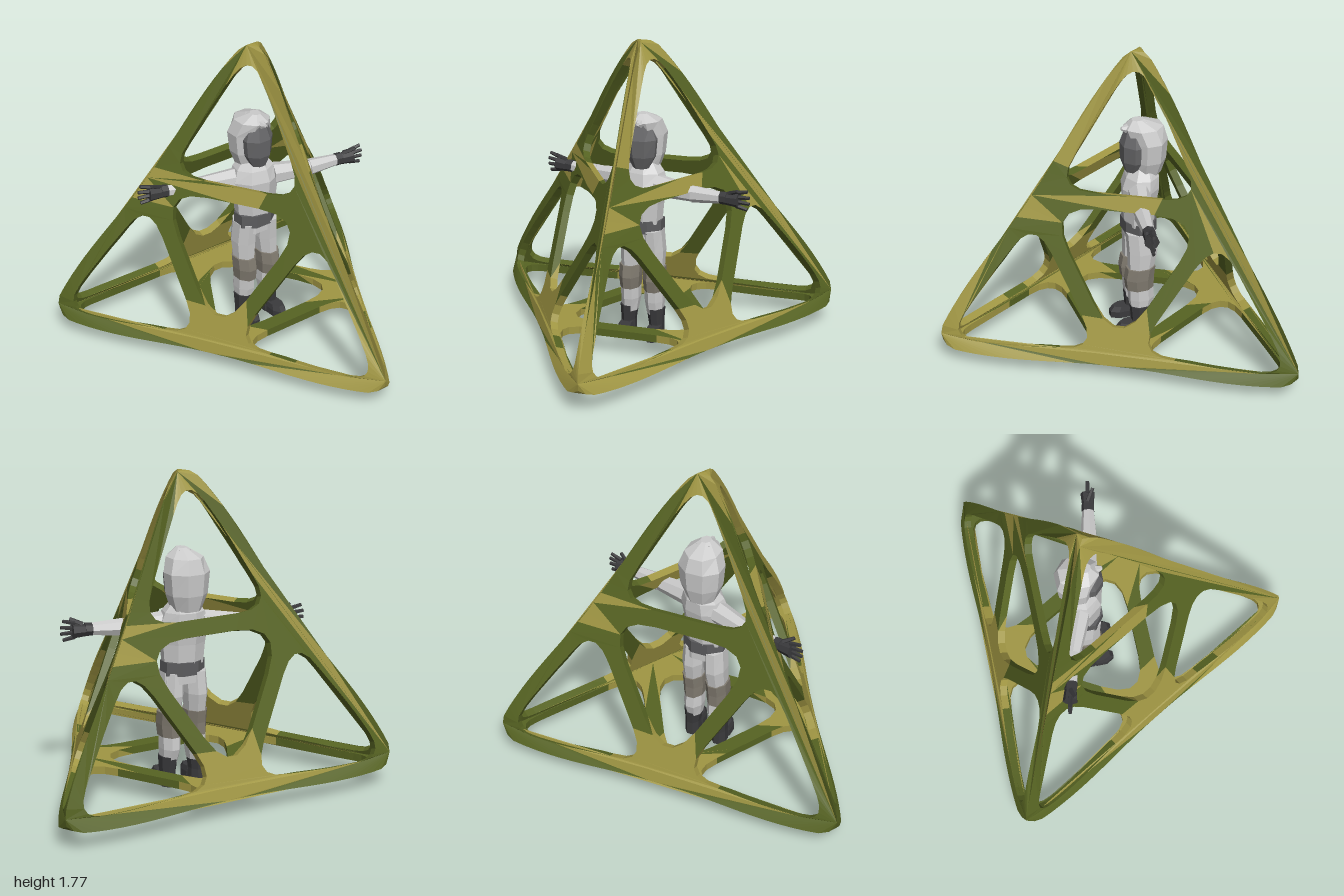
import * as THREE from 'three';

const V = (x, y, z) => new THREE.Vector3(x, y, z);
const material = (color) => new THREE.MeshStandardMaterial({ color, flatShading: true });
const olive = material(0xa09643), green = material(0x566322);
const cloth = material(0xcccccc), dark = material(0x3a3a3c), strap = material(0x5c5c5e);
const kneeCloth = material(0x817b70), shade = material(0x666668);

function addMesh(parent, name, geometry, mat) {
  const mesh = new THREE.Mesh(geometry, mat);
  mesh.name = name;
  parent.add(mesh);
}

// Closed skin over horizontal elliptical rings [y, x, z, rx, rz]
function loft(rings, sides = 8) {
  const pos = [], idx = [];
  for (const [y, x, z, rx, rz] of rings) {
    for (let j = 0; j < sides; j++) {
      const a = ((j + 0.5) / sides) * Math.PI * 2;
      pos.push(x + rx * Math.cos(a), y, z + rz * Math.sin(a));
    }
  }
  const last = rings.length - 1, base = rings.length * sides;
  for (const r of [rings[0], rings[last]]) pos.push(r[1], r[0], r[2]);
  for (let j = 0; j < sides; j++) {
    const k = (j + 1) % sides;
    for (let i = 0; i < last; i++) {
      const p = i * sides + j, q = i * sides + k;
      idx.push(p, p + sides, q, q, p + sides, q + sides);
    }
    idx.push(base, j, k, base + 1, last * sides + k, last * sides + j);
  }
  const g = new THREE.BufferGeometry();
  g.setAttribute('position', new THREE.Float32BufferAttribute(pos, 3));
  g.setIndex(idx);
  g.computeVertexNormals();
  return g;
}

// Tapered rod between two points
function rod(a, b, ra, rb, sides = 7) {
  const dir = b.clone().sub(a);
  const g = new THREE.CylinderGeometry(rb, ra, dir.length(), sides);
  g.applyQuaternion(new THREE.Quaternion().setFromUnitVectors(V(0, 1, 0), dir.normalize()));
  return g.translate((a.x + b.x) / 2, (a.y + b.y) / 2, (a.z + b.z) / 2);
}

// Regular tetrahedron measures: circumradius of a face, inradius, panel depth, rim width
const R = 1.23, IN = R * Math.SQRT2 / 4, DEPTH = 0.043, RIM = 0.074, BAR = 0.045, SUB = R * 0.75;
const CENTER = V(-0.26, 0.107 + IN, 0);

// Points of a triangle with rounded corners, inset from each side
function roundedHole(corners, insets, cuts) {
  const tip = corners.map((_, i) => {
    const j = (i + 1) % 3, k = (i + 2) % 3, wj = insets[j] / SUB, wk = insets[k] / SUB;
    return new THREE.Vector2().addScaledVector(corners[i], 1 - wj - wk)
      .addScaledVector(corners[j], wj).addScaledVector(corners[k], wk);
  });
  const toward = (p, q, d) => p.clone().add(q.clone().sub(p).setLength(d));
  const pts = [];
  for (let i = 0; i < 3; i++) {
    const next = tip[(i + 1) % 3], prev = tip[(i + 2) % 3];
    const start = toward(tip[i], prev, cuts[i]), end = toward(tip[i], next, cuts[i]);
    pts.push(...new THREE.QuadraticBezierCurve(start, tip[i], end).getPoints(5));
    const far = toward(next, tip[i], cuts[(i + 1) % 3]);
    for (let s = 1; s < 6; s++) pts.push(end.clone().lerp(far, s / 6));
  }
  return pts;
}

// Triangles of one face: outer skin, mitred inner skin and the walls of its four openings
function facePanel() {
  const c = [-150, -30, 90].map((d) => {
    const a = THREE.MathUtils.degToRad(d);
    return new THREE.Vector2(R * Math.cos(a), R * Math.sin(a));
  });
  const mid = c.map((p, i) => p.clone().lerp(c[(i + 1) % 3], 0.5));
  const holes = c.map((p, i) =>
    roundedHole([p, mid[i], mid[(i + 2) % 3]], [BAR, RIM, RIM], [0.16, 0.23, 0.23]));
  holes.push(roundedHole(mid, [BAR, BAR, BAR], [0.3, 0.3, 0.3]));
  const outline = c.flatMap((p, i) =>
    Array.from({ length: 28 }, (_, s) => p.clone().lerp(c[(i + 1) % 3], s / 28)));

  const out = [];
  const skin = (scale, z, flip) => {
    const shape = new THREE.Shape(outline.map((p) => p.clone().multiplyScalar(scale)));
    shape.holes = holes.map((h) => new THREE.Path(h));
    const p = new THREE.ShapeGeometry(shape).toNonIndexed().attributes.position;
    for (let i = 0; i < p.count; i += 3)
      for (const k of flip ? [0, 2, 1] : [0, 1, 2]) out.push(V(p.getX(i + k), p.getY(i + k), z));
  };
  skin(1, 0, false);
  skin(1 - DEPTH / IN, -DEPTH, true);
  for (const h of holes) {
    h.forEach((p, i) => {
      const q = h[(i + 1) % h.length];
      const a = V(p.x, p.y, 0), b = V(q.x, q.y, 0), a2 = V(p.x, p.y, -DEPTH), b2 = V(q.x, q.y, -DEPTH);
      out.push(a, b, a2, b, b2, a2);
    });
  }
  return out;
}

function buildFrame() {
  const corners = [0, 1, 2].map((i) => {
    const a = (i * Math.PI * 2) / 3;
    return V(R * Math.cos(a), -IN, R * Math.sin(a));
  });
  corners.push(V(0, IN * 3, 0));
  const panel = facePanel();
  const points = corners.flatMap((v, i) => {
    const [a, b, c] = corners.filter((_, j) => j !== i);
    const n = v.clone().normalize().negate();
    const x = b.clone().sub(a).normalize(), y = n.clone().cross(x);
    if (y.dot(c.clone().sub(a)) < 0) { x.negate(); y.negate(); }
    const m = new THREE.Matrix4().makeBasis(x, y, n).setPosition(n.clone().multiplyScalar(IN));
    return panel.map((p) => p.clone().applyMatrix4(m));
  });

  // Bow the struts outward and blunt the four corners
  for (const v of points) {
    const r = v.length(), u = Math.max(0, r - 1.16) / 0.145;
    const bow = 0.032 * Math.sin(Math.PI * THREE.MathUtils.clamp((r - 0.76) / 0.5, 0, 1));
    v.setLength(r - 0.145 * 0.55 * u * u + bow).add(CENTER);
  }

  // Sort the triangles into two paints by patches [x, y, z, radius]
  const patches = [[0.03, 0.12, 0.53, 0.32], [0.03, 0.12, -0.53, 0.32], [-0.87, 0.12, 0, 0.32],
    [-0.26, 1.76, 0, 0.2], [0.05, 1.4, 0.07, 0.28], [0.75, 0.15, 0, 0.42], [-0.1, 0.98, 0.3, 0.18],
    [-0.1, 0.98, -0.3, 0.18], [-0.55, 0.98, 0.53, 0.13], [-0.55, 0.98, -0.53, 0.13], [0.36, 0.98, 0, 0.12]];
  const paint = [[], []];
  for (let i = 0; i < points.length; i += 3) {
    const tri = points.slice(i, i + 3);
    const mean = V(0, 0, 0);
    tri.forEach((v) => mean.addScaledVector(v, 1 / 3));
    const hit = patches.some(([x, y, z, r]) => mean.distanceTo(V(x, y, z)) < r);
    paint[hit ? 0 : 1].push(...tri);
  }
  const frame = new THREE.Group();
  frame.name = 'pyramidFrame';
  paint.forEach((pts, i) => {
    const g = new THREE.BufferGeometry().setFromPoints(pts);
    g.computeVertexNormals();
    addMesh(frame, i ? 'greenStruts' : 'oliveStruts', g, i ? green : olive);
  });
  return frame;
}

function buildArm(parent, name, shoulder, elbow, wrist) {
  const arm = new THREE.Group();
  arm.name = name;
  addMesh(arm, 'upperArm', rod(shoulder, elbow, 0.065, 0.046), cloth);
  addMesh(arm, 'forearm', rod(elbow, wrist, 0.05, 0.033), cloth);
  // Hand: palm, four spread fingers and a thumb
  const dir = wrist.clone().sub(elbow).normalize();
  const at = (d, h) => wrist.clone().addScaledVector(dir, d).add(V(0, h, 0));
  addMesh(arm, 'cuff', rod(at(-0.02, 0), at(0.02, 0), 0.037, 0.037), dark);
  addMesh(arm, 'palm', rod(at(0, 0), at(0.09, 0), 0.032, 0.042).translate(0, -0.004, 0), dark);
  for (let i = 0; i < 4; i++) {
    const h = (i - 1.5) * 0.025;
    addMesh(arm, 'finger', rod(at(0.075, h), at(0.16 - Math.abs(h) * 0.5, h * 1.4), 0.013, 0.01, 5), dark);
  }
  addMesh(arm, 'thumb', rod(at(0.03, 0.03), at(0.09, 0.058).add(V(0.03, 0, 0)), 0.014, 0.01, 5), dark);
  parent.add(arm);
}

function buildFigure() {
  const figure = new THREE.Group();
  figure.name = 'hoodedFigure';
  // Legs and boots
  for (const side of [-1, 1]) {
    const leg = new THREE.Group();
    leg.name = side < 0 ? 'leftLeg' : 'rightLeg';
    leg.position.set(side < 0 ? 0.01 : -0.01, 0, side * 0.075);
    addMesh(leg, 'thigh', loft([[0.4, -0.275, 0, 0.075, 0.055], [0.53, -0.285, -side * 0.005, 0.09, 0.066],
      [0.66, -0.275, -side * 0.01, 0.09, 0.062]]), cloth);
    addMesh(leg, 'kneeWrap', loft([[0.29, -0.27, 0, 0.085, 0.06], [0.36, -0.265, 0, 0.09, 0.066],
      [0.43, -0.275, 0, 0.088, 0.066]]), kneeCloth);
    addMesh(leg, 'shin', loft([[0.14, -0.275, 0.004 * side, 0.058, 0.048], [0.22, -0.28, 0, 0.078, 0.058],
      [0.3, -0.275, 0, 0.076, 0.058]]), cloth);
    addMesh(leg, 'bootShaft', loft([[0, -0.275, 0.012 * side, 0.06, 0.045], [0.08, -0.275, 0.012 * side, 0.056, 0.044],
      [0.175, -0.275, 0.008 * side, 0.066, 0.054]]), dark);
    addMesh(leg, 'bootToe', loft([[0.005, -0.205, 0.014 * side, 0.08, 0.046], [0.045, -0.205, 0.014 * side, 0.083, 0.046],
      [0.075, -0.215, 0.014 * side, 0.07, 0.038]]), dark);
    figure.add(leg);
  }
  // Jacket and belt
  addMesh(figure, 'jacketHem', loft([[0.6, -0.28, 0, 0.09, 0.13], [0.66, -0.28, 0, 0.09, 0.125]]), cloth);
  addMesh(figure, 'belt', loft([[0.645, -0.275, 0, 0.1, 0.13], [0.72, -0.275, 0, 0.1, 0.128]]), strap);
  const torso = loft([[0.7, 0, 0, 0.09, 0.118], [0.82, 0, 0, 0.1, 0.128],
    [0.93, -0.005, 0, 0.112, 0.145], [1.0, -0.015, 0, 0.1, 0.12], [1.06, -0.02, 0, 0.07, 0.07]]);
  addMesh(figure, 'torso', torso.rotateY(-0.25).translate(-0.275, 0, 0), cloth);
  // Hood with pointed brim and shaded face
  addMesh(figure, 'hood', loft([[1.01, -0.315, 0, 0.085, 0.085], [1.1, -0.32, 0, 0.105, 0.118],
    [1.22, -0.32, 0, 0.112, 0.13], [1.3, -0.295, 0, 0.115, 0.1], [1.345, -0.26, 0, 0.035, 0.03]]), cloth);
  addMesh(figure, 'face', loft([[1.03, -0.245, 0, 0.055, 0.05], [1.1, -0.255, 0, 0.09, 0.088],
    [1.2, -0.255, 0, 0.094, 0.098], [1.29, -0.26, 0, 0.07, 0.06]]), shade);
  addMesh(figure, 'hoodBrim', rod(V(-0.29, 1.275, 0), V(-0.165, 1.3, 0), 0.072, 0.01, 6), cloth);

  buildArm(figure, 'leftArm', V(-0.24, 0.93, -0.1), V(-0.18, 0.92, -0.32), V(-0.145, 0.925, -0.51));
  buildArm(figure, 'rightArm', V(-0.32, 0.93, 0.1), V(-0.405, 0.92, 0.32), V(-0.45, 0.93, 0.5));
  return figure;
}

export function createModel() {
  const model = new THREE.Group();
  model.name = 'figureInPyramidFrame';
  model.add(buildFrame(), buildFigure());
  return model;
}
